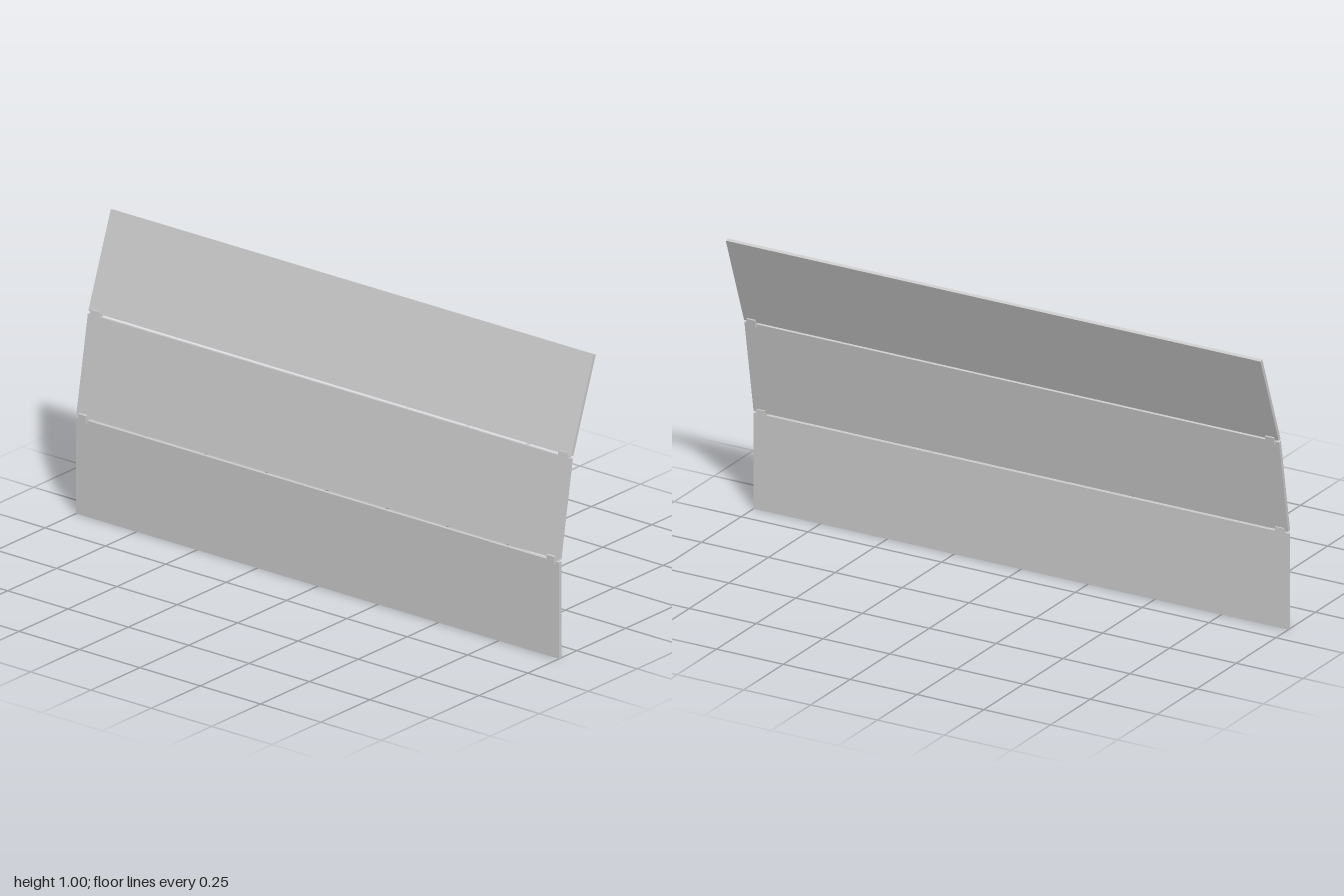
import * as THREE from 'three';

const material = new THREE.MeshStandardMaterial({ color: 0xcccccc });

function addBox(parent, name, size, position) {
  const mesh = new THREE.Mesh(new THREE.BoxGeometry(...size), material);
  mesh.name = name;
  mesh.position.set(...position);
  parent.add(mesh);
}

export function createModel() {
  const model = new THREE.Group();
  model.name = 'foldingScreen';

  const thickness = 0.012, gap = 0.004, hinge = 0.028;
  // Each leaf starts at the joint below it and leans further towards +x.
  const leaves = [
    { name: 'lowerPanel', length: 0.338, lean: 0, bottomGap: 0, topGap: gap },
    { name: 'middlePanel', length: 0.345, lean: 10, bottomGap: gap, topGap: gap },
    { name: 'upperPanel', length: 0.341, lean: 20, bottomGap: gap, topGap: 0 },
  ];

  let x = -0.085, y = 0;
  leaves.forEach((leaf, i) => {
    const angle = THREE.MathUtils.degToRad(leaf.lean);
    const section = new THREE.Group();
    section.name = leaf.name + 'Section';
    section.position.set(x, y, 0);
    section.rotation.z = -angle;
    model.add(section);

    // Thin panel with a narrow slit left at each joint
    const height = leaf.length - leaf.bottomGap - leaf.topGap;
    addBox(section, leaf.name, [thickness, height, 2], [0, leaf.bottomGap + height / 2, 0]);

    // Hinge blocks near both ends of the joint above
    if (i < leaves.length - 1) {
      for (const side of [-1, 1]) {
        addBox(section, 'hinge', [hinge, hinge, 0.032], [0, leaf.length, side * 0.97]);
      }
    }
    x += Math.sin(angle) * leaf.length;
    y += Math.cos(angle) * leaf.length;
  });

  return model;
}
